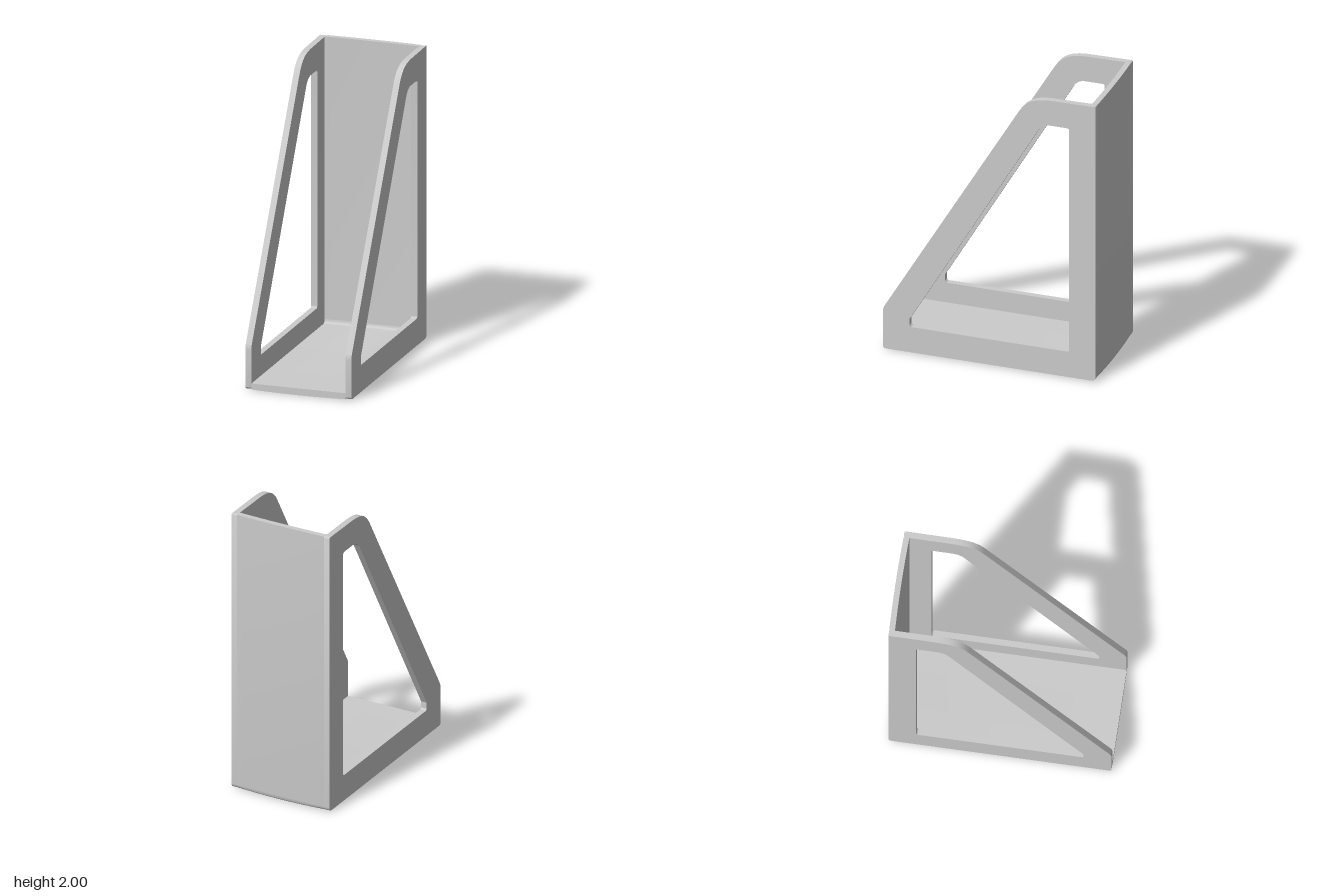
import * as THREE from 'three';
import { toCreasedNormals } from 'three/addons/utils/BufferGeometryUtils.js';

const INNER = 0.325, OUTER = 0.367;

// Profiles are drawn as (-z, y) and extruded along x
function extrudeX(shape, x0, x1, steps = 1) {
  const geo = new THREE.ExtrudeGeometry(shape, { depth: x1 - x0, steps, bevelEnabled: false, curveSegments: 10 });
  return geo.rotateY(Math.PI / 2).translate(x0, 0, 0);
}

// Side frame: sloping outline with a matching window
function sideShape() {
  const s = new THREE.Shape();
  s.moveTo(-0.715, 0.006);
  s.lineTo(0.705, 0.006);
  s.quadraticCurveTo(0.733, 0.006, 0.733, 0.04);
  s.lineTo(0.733, 1.99);
  s.quadraticCurveTo(0.733, 2, 0.72, 2);
  s.lineTo(0.42, 1.996);
  s.bezierCurveTo(0.33, 1.99, 0.26, 1.98, 0.2, 1.88);
  s.lineTo(-0.725, 0.32);
  s.quadraticCurveTo(-0.738, 0.3, -0.738, 0.27);
  s.lineTo(-0.738, 0.025);
  s.quadraticCurveTo(-0.738, 0.006, -0.715, 0.006);

  const h = new THREE.Path();
  h.moveTo(-0.545, 0.19);
  h.lineTo(-0.555, 0.2);
  h.lineTo(-0.555, 0.245);
  h.lineTo(0.335, 1.765);
  h.quadraticCurveTo(0.365, 1.815, 0.42, 1.815);
  h.lineTo(0.535, 1.815);
  h.quadraticCurveTo(0.55, 1.815, 0.55, 1.8);
  h.lineTo(0.55, 0.205);
  h.quadraticCurveTo(0.55, 0.19, 0.535, 0.19);
  h.closePath();
  s.holes.push(h);
  return s;
}

// Floor and back wall as one L section with a small inner fillet
function trayShape() {
  const s = new THREE.Shape();
  s.moveTo(-0.738, 0.006);
  s.lineTo(0.705, 0.006);
  s.quadraticCurveTo(0.733, 0.006, 0.733, 0.04);
  s.lineTo(0.733, 2);
  s.lineTo(0.695, 2);
  s.lineTo(0.695, 0.075);
  s.quadraticCurveTo(0.695, 0.047, 0.665, 0.047);
  s.lineTo(-0.738, 0.047);
  s.closePath();
  return s;
}

export function createModel() {
  const group = new THREE.Group();
  const material = new THREE.MeshStandardMaterial({ color: 0xcccccc });
  const add = (name, geo) => {
    const mesh = new THREE.Mesh(toCreasedNormals(geo, 0.5), material);
    mesh.name = name;
    group.add(mesh);
  };

  add('leftSideFrame', extrudeX(sideShape(), INNER, OUTER));
  add('rightSideFrame', extrudeX(sideShape(), -OUTER, -INNER));

  // The back and floor bulge very slightly outward across the width
  const tray = extrudeX(trayShape(), -INNER, INNER, 16);
  const p = tray.attributes.position;
  for (let i = 0; i < p.count; i++) {
    const bow = 0.006 * (1 - (p.getX(i) / INNER) ** 2);
    if (p.getZ(i) < -0.6) p.setZ(i, p.getZ(i) - bow);
    if (p.getY(i) < 0.02) p.setY(i, p.getY(i) - bow);
  }
  add('floorAndBack', tray);
  return group;
}
